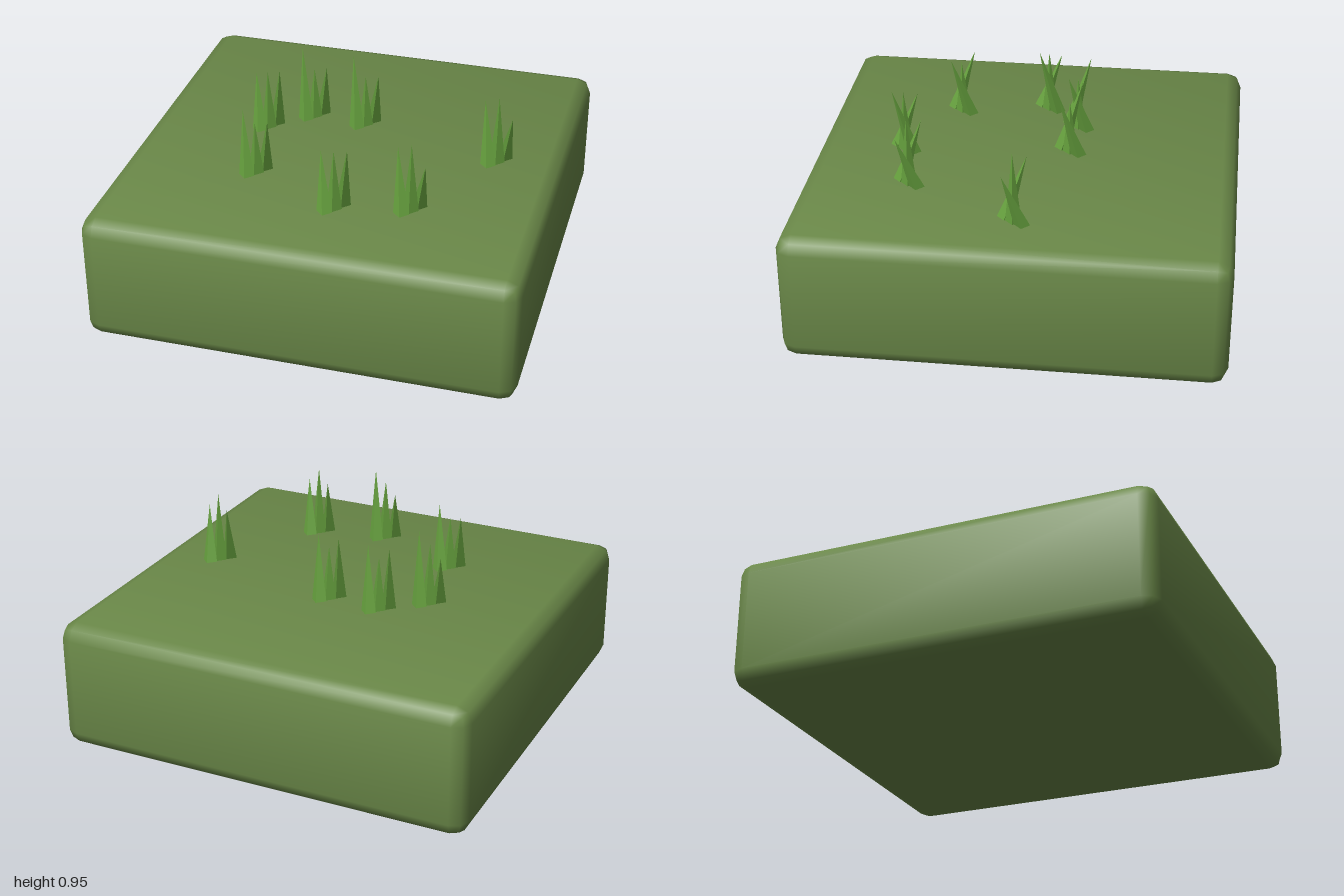
import * as THREE from 'three';
import { RoundedBoxGeometry } from 'three/addons/geometries/RoundedBoxGeometry.js';

const TOP = 0.613;

// Slab with a two-step bevel and softly spread normals
function slabGeometry() {
  const geo = new RoundedBoxGeometry(2, TOP, 2, 1, 0.07);
  const p = geo.attributes.position, n = geo.attributes.normal;
  const v = new THREE.Vector3();
  for (let i = 0; i < p.count; i++) {
    v.fromBufferAttribute(n, i);
    v.x += 0.2 * Math.sign(p.getX(i));
    v.y += 0.2 * Math.sign(p.getY(i));
    v.z += 0.2 * Math.sign(p.getZ(i));
    v.normalize();
    n.setXYZ(i, v.x, v.y, v.z);
  }
  return geo.translate(0, TOP / 2, 0);
}

// Four-sided spike whose tip leans away from its base
function bladeGeometry([bx, bz], [tx, tz], height, radius) {
  const geo = new THREE.ConeGeometry(radius, height, 4).toNonIndexed();
  geo.translate(0, height / 2, 0);
  const p = geo.attributes.position;
  for (let i = 0; i < p.count; i++) {
    const t = p.getY(i) / height;
    p.setX(i, p.getX(i) + bx + (tx - bx) * t);
    p.setZ(i, p.getZ(i) + bz + (tz - bz) * t);
  }
  geo.computeVertexNormals();
  return geo;
}

export function createModel() {
  const model = new THREE.Group();
  model.name = 'grassBlock';
  const turf = new THREE.MeshStandardMaterial({ color: 0x6a8848 });
  turf.name = 'turfGreen';
  const grass = new THREE.MeshStandardMaterial({ color: 0x659f3d });
  grass.name = 'grassGreen';
  grass.flatShading = true;

  const slab = new THREE.Mesh(slabGeometry(), turf);
  slab.name = 'groundSlab';
  model.add(slab);

  // Blades of a tuft: base and tip as [x, z] offsets; outer two cross over
  const blades = [
    { name: 'leftBlade', base: [-0.033, 0.045], tip: [-0.075, -0.05], r: 0.038 },
    { name: 'middleBlade', base: [0, 0], tip: [0, 0.005], r: 0.038 },
    { name: 'rightBlade', base: [0.028, -0.045], tip: [0.073, 0.045], r: 0.038 },
  ];
  // Tuft position x, z, then the tip height of each blade
  const tufts = [
    [-0.435, -0.06, 0.87, 0.91, 0.945],
    [-0.25, -0.22, 0.945, 0.87, 0.905],
    [0.01, -0.205, 0.945, 0.87, 0.905],
    [0.695, -0.02, 0.90, 0.95, 0.87],
    [-0.362, 0.365, 0.90, 0.87, 0.91],
    [0.072, 0.575, 0.87, 0.91, 0.945],
    [0.407, 0.5, 0.90, 0.95, 0.87],
  ];
  const sunk = 0.01;
  for (const [x, z, ...tops] of tufts) {
    const tuft = new THREE.Group();
    tuft.name = 'grassTuft';
    tuft.position.set(x, TOP - sunk, z);
    blades.forEach((b, i) => {
      const mesh = new THREE.Mesh(bladeGeometry(b.base, b.tip, tops[i] - TOP + sunk, b.r), grass);
      mesh.name = b.name;
      tuft.add(mesh);
    });
    model.add(tuft);
  }
  return model;
}
